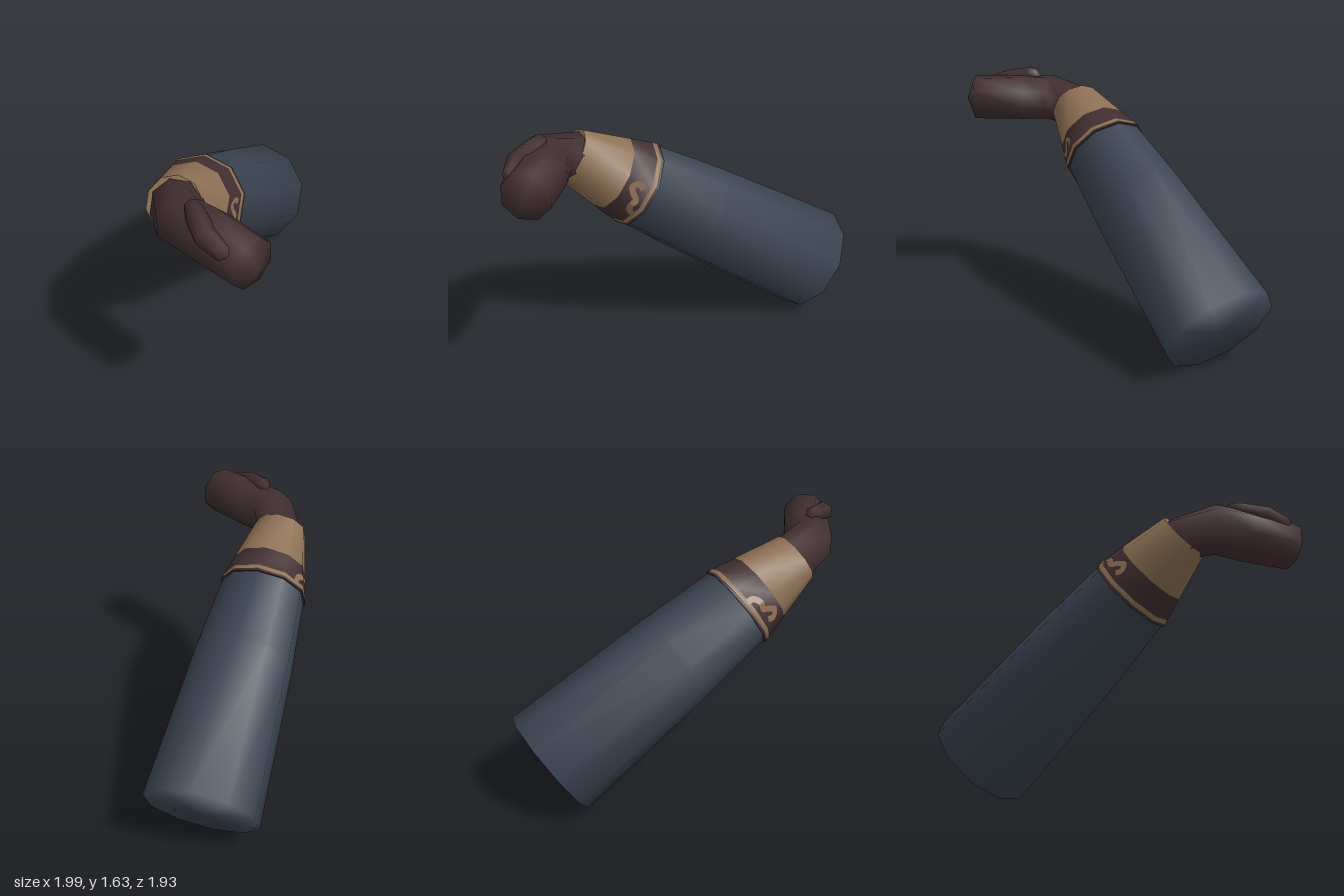
import * as THREE from 'three';

const V = (x, y, z) => new THREE.Vector3(x, y, z);
const UP = V(0, 1, 0);

// Horizontal and upright axes of a cross-section facing n
function frame(n) {
  const u = UP.clone().cross(n).normalize();
  return [u, n.clone().cross(u).normalize()];
}

// Smooth skin over rings { c, n, r }, with a fan on each end
function loft(rings, sides, phase, startTip, endTip) {
  const pos = [], idx = [];
  for (const { c, n, r } of rings) {
    const [u, v] = frame(n);
    for (let i = 0; i < sides; i++) {
      const a = phase + (i / sides) * Math.PI * 2;
      const p = c.clone().addScaledVector(u, Math.cos(a) * r).addScaledVector(v, Math.sin(a) * r);
      pos.push(p.x, p.y, p.z);
    }
  }
  for (let k = 0; k < rings.length - 1; k++) {
    for (let i = 0; i < sides; i++) {
      const j = (i + 1) % sides, a = k * sides, b = a + sides;
      idx.push(a + i, a + j, b + j, a + i, b + j, b + i);
    }
  }
  const fan = (tip, base, flip) => {
    const t = pos.length / 3;
    pos.push(tip.x, tip.y, tip.z);
    for (let i = 0; i < sides; i++) {
      const j = (i + 1) % sides;
      if (flip) idx.push(base + j, base + i, t);
      else idx.push(base + i, base + j, t);
    }
  };
  if (startTip) fan(startTip, 0, true);
  if (endTip) fan(endTip, (rings.length - 1) * sides, false);
  const g = new THREE.BufferGeometry();
  g.setAttribute('position', new THREE.Float32BufferAttribute(pos, 3));
  g.setIndex(idx);
  g.computeVertexNormals();
  return g;
}

export function createModel() {
  const group = new THREE.Group();
  const cloth = new THREE.MeshStandardMaterial({ color: 0x3a4350 });
  cloth.name = 'slate cloth';
  const tan = new THREE.MeshStandardMaterial({ color: 0x8c7053, side: THREE.DoubleSide });
  tan.name = 'tan leather';
  const dark = new THREE.MeshStandardMaterial({ color: 0x412f30 });
  dark.name = 'dark brown leather';
  const add = (name, geometry, material) => {
    const m = new THREE.Mesh(geometry, material);
    m.name = name;
    group.add(m);
  };

  // Forearm axis runs from the cuff rim to the wide upper end
  const rim = V(-0.37, 1.13, 0);
  const dir = V(1.13, -0.82, -0.63).normalize();
  const at = (t) => rim.clone().addScaledVector(dir, t);
  const SIDES = 10, PHASE = Math.PI / 10;
  const ring = (t, r) => ({ c: at(t), n: dir, r });

  // Sleeve with a closed, softly shaded end
  add('sleeve', loft([ring(-0.02, 0.275), ring(0.5, 0.318), ring(1.53, 0.367)],
    SIDES, PHASE, null, at(1.545)), cloth);

  // Tapered cuff, split into coloured bands
  const LEN = 0.5;
  const cuffR = (t) => 0.29 + (t / LEN) * 0.12;
  const bands = [
    ['cuff', -LEN, -0.19, tan],
    ['cuffBand', -0.19, -0.04, dark],
    ['cuffStripe', -0.04, -0.012, tan],
    ['cuffEdge', -0.012, 0.006, dark],
  ];
  for (const [name, a, b, material] of bands) {
    add(name, loft([ring(a, cuffR(a)), ring(b, cuffR(b))], SIDES, PHASE), material);
  }
  // Flat closures at both ends of the cuff
  add('cuffWristRim', loft([ring(-LEN, cuffR(-LEN))], SIDES, PHASE, at(-LEN), null), tan);
  add('cuffElbowRim', loft([ring(0.006, cuffR(0.006))], SIDES, PHASE, null, at(0.006)), dark);

  // Curled ornaments laid on the faceted band, one on each side
  const [u, v] = frame(dir);
  const step = (Math.PI * 2) / SIDES;
  const onCuff = (angle, t) => {
    const k = (((angle - PHASE) % step) + step) % step;
    const r = cuffR(t) * Math.cos(step / 2) / Math.cos(k - step / 2) + 0.005;
    return at(t).addScaledVector(u, Math.cos(angle) * r).addScaledVector(v, Math.sin(angle) * r);
  };
  const curl = new THREE.CatmullRomCurve3([
    [0.145, 0.03], [0.135, 0.07], [0.09, 0.095], [0.045, 0.085], [0.015, 0.12],
    [-0.025, 0.145], [-0.055, 0.11], [-0.035, 0.075],
  ].map(([x, y]) => V(x, y, 0)));
  [['frontCurl', Math.PI], ['backCurl', 0]].forEach(([name, base]) => {
    const pos = [], idx = [], N = 40;
    for (let i = 0; i <= N; i++) {
      const p = curl.getPoint(i / N), d = curl.getTangent(i / N);
      for (const s of [-1, 1]) {
        const w = s * 0.019;
        const q = onCuff(base + (p.x - d.y * w) / 0.26, -(p.y + d.x * w));
        pos.push(q.x, q.y, q.z);
      }
      if (i < N) idx.push(2 * i, 2 * i + 2, 2 * i + 1, 2 * i + 1, 2 * i + 2, 2 * i + 3);
    }
    const g = new THREE.BufferGeometry();
    g.setAttribute('position', new THREE.Float32BufferAttribute(pos, 3));
    // Make the ribbon face away from the forearm axis
    const [a, b, c] = [0, 2, 1].map((i) => V(pos[3 * i], pos[3 * i + 1], pos[3 * i + 2]));
    const outward = a.clone().sub(at(-0.03));
    if (b.sub(a).cross(c.sub(a)).dot(outward) < 0) idx.reverse();
    g.setIndex(idx);
    g.computeVertexNormals();
    add(name, g, tan);
  });

  // Mitten hand bending forward out of the cuff
  add('hand', loft([
    { c: at(-0.47), n: dir.clone().negate(), r: 0.165 },
    { c: V(-0.83, 1.43, 0.375), n: V(-0.31, 0, 0.95), r: 0.158 },
    { c: V(-0.82, 1.435, 0.58), n: V(0, 0, 1), r: 0.16 },
    { c: V(-0.825, 1.435, 0.91), n: V(0, 0, 1), r: 0.153 },
  ], 8, Math.PI / 8, null, V(-0.83, 1.43, 0.965)), dark);

  // Thumb resting along the upper outer side
  const along = V(-0.2, -0.15, 1).normalize();
  add('thumb', loft([
    { c: V(-0.845, 1.59, 0.47), n: along, r: 0.045 },
    { c: V(-0.87, 1.575, 0.53), n: along, r: 0.06 },
    { c: V(-0.93, 1.54, 0.68), n: along, r: 0.066 },
    { c: V(-0.935, 1.51, 0.83), n: along, r: 0.048 },
  ], 6, Math.PI / 6, V(-0.84, 1.58, 0.435), V(-0.935, 1.5, 0.87)), dark);

  return group;
}
